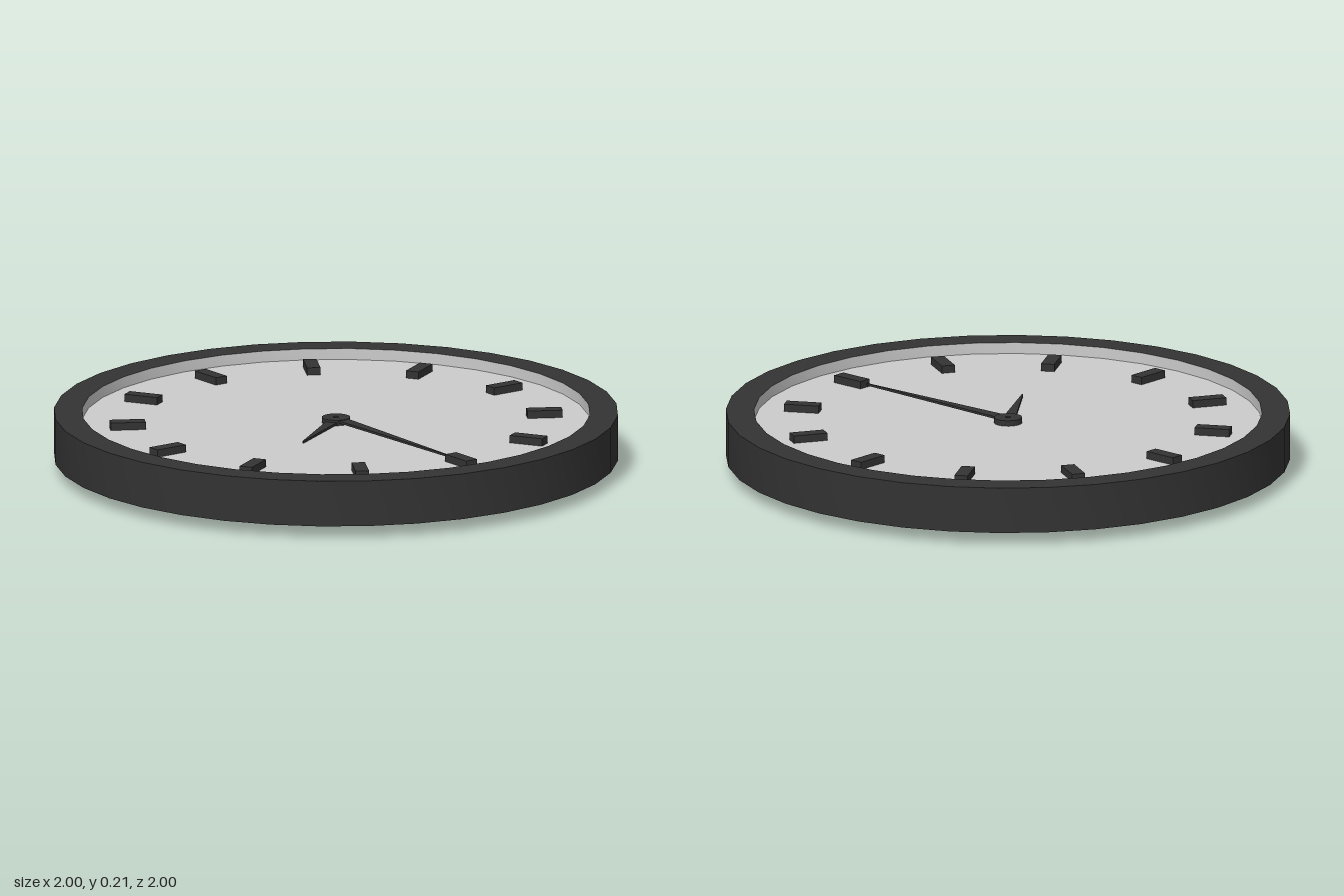
import * as THREE from 'three';
import { toCreasedNormals } from 'three/addons/utils/BufferGeometryUtils.js';

const SIDES = 36;
const FACE_Y = 0.17;

export function createModel() {
  const clock = new THREE.Group();
  clock.name = 'wallClock';
  const dark = new THREE.MeshStandardMaterial({ color: 0x333333 });
  const grey = new THREE.MeshStandardMaterial({ color: 0xcccccc });

  const add = (name, geometry, material, parent = clock) => {
    const mesh = new THREE.Mesh(geometry, material);
    mesh.name = name;
    parent.add(mesh);
    return mesh;
  };
  // turned part from [radius, height] pairs, with crisp rims
  const turned = (profile, sides) => toCreasedNormals(
    new THREE.LatheGeometry(profile.map(([r, y]) => new THREE.Vector2(r, y)), sides), 0.6);

  // housing: closed back, outer wall and flat rim
  add('housing', turned([[0, 0.045], [1, 0.045], [1, 0.21], [0.9, 0.21]], SIDES), dark);
  // recessed dial with its inner wall
  add('dial', turned([[0.9, 0.21], [0.9, FACE_Y], [0, FACE_Y]], SIDES), grey);

  // shaft stub on the back
  const stub = add('shaftStub', new THREE.CylinderGeometry(0.05, 0.05, 0.06, 24), dark);
  stub.position.y = 0.03;

  // twelve hour markers
  const markers = new THREE.Group();
  markers.name = 'hourMarkers';
  clock.add(markers);
  const markerGeometry = new THREE.BoxGeometry(0.125, 0.03, 0.048);
  for (let i = 0; i < 12; i++) {
    const a = (i * Math.PI) / 6;
    const marker = add('hourMarker', markerGeometry, dark, markers);
    marker.position.set(0.743 * Math.cos(a), FACE_Y + 0.012, 0.743 * Math.sin(a));
    marker.rotation.y = -a;
  }

  // tapered hands, pointing along +x before being turned
  const addHand = (name, length, width, y, angle) => {
    const shape = new THREE.Shape();
    shape.moveTo(0.03, -width / 2);
    shape.lineTo(length, -0.002);
    shape.lineTo(length, 0.002);
    shape.lineTo(0.03, width / 2);
    const geometry = new THREE.ExtrudeGeometry(shape, { depth: 0.008, bevelEnabled: false });
    geometry.rotateX(-Math.PI / 2);
    const hand = add(name, geometry, dark);
    hand.position.y = y;
    hand.rotation.y = -angle;
  };
  addHand('minuteHand', 0.67, 0.046, FACE_Y + 0.01, 0);
  addHand('hourHand', 0.335, 0.044, FACE_Y + 0.004, THREE.MathUtils.degToRad(57));

  // hub ring with a small pin in the middle
  add('hub', turned([[0.05, FACE_Y], [0.05, FACE_Y + 0.02], [0.01, FACE_Y + 0.02], [0.01, FACE_Y]], 24), dark);
  const pin = add('hubPin', new THREE.CylinderGeometry(0.01, 0.01, 0.014, 12), grey);
  pin.position.y = FACE_Y + 0.007;

  return clock;
}
